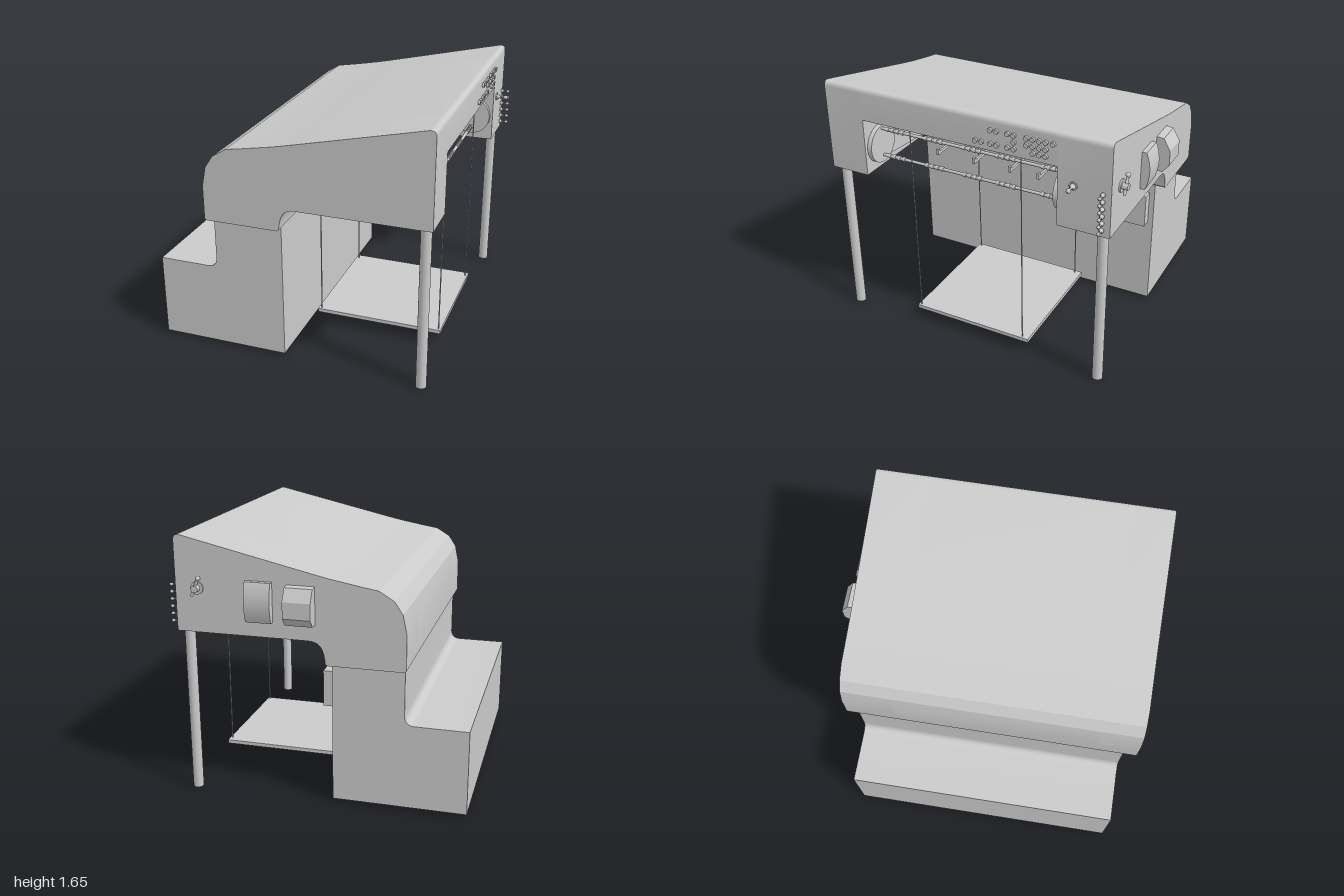
import * as THREE from 'three';
import { toCreasedNormals } from 'three/addons/utils/BufferGeometryUtils.js';

const grey = new THREE.MeshStandardMaterial({ color: 0xcccccc });

export function createModel() {
  const model = new THREE.Group();

  const add = (name, geometry, x = 0, y = 0, z = 0, parent = model) => {
    const mesh = new THREE.Mesh(geometry, grey);
    mesh.name = name;
    mesh.position.set(x, y, z);
    parent.add(mesh);
    return mesh;
  };
  // Box given by its limits
  const box = (name, x0, x1, y0, y1, z0, z1) =>
    add(name, new THREE.BoxGeometry(x1 - x0, y1 - y0, z1 - z0), (x0 + x1) / 2, (y0 + y1) / 2, (z0 + z1) / 2);
  // Cylinder between two points
  const rod = (name, a, b, r, sides = 12) => {
    const from = new THREE.Vector3(...a), to = new THREE.Vector3(...b);
    const dir = to.clone().sub(from);
    const mesh = add(name, new THREE.CylinderGeometry(r, r, dir.length(), sides));
    mesh.position.copy(from).add(to).multiplyScalar(0.5);
    mesh.quaternion.setFromUnitVectors(new THREE.Vector3(0, 1, 0), dir.normalize());
    return mesh;
  };
  // Side profile swept along z
  const sweep = (name, shape, z0, z1) => {
    const geo = new THREE.ExtrudeGeometry(shape, { depth: z1 - z0, bevelEnabled: false, curveSegments: 10 });
    return add(name, toCreasedNormals(geo, 0.3), 0, 0, z0);
  };

  // Stepped base with a coved corner
  const base = new THREE.Shape();
  base.moveTo(-0.935, 0.02);
  base.lineTo(-0.1, 0.02);
  base.lineTo(-0.1, 0.92);
  base.lineTo(-0.545, 0.92);
  base.lineTo(-0.545, 0.62);
  base.quadraticCurveTo(-0.545, 0.557, -0.61, 0.557);
  base.lineTo(-0.935, 0.557);
  base.closePath();
  sweep('base', base, -0.84, 0.92);
  box('switchBox', -0.1, -0.035, 0.62, 0.845, -0.805, -0.64);

  // Hood: two solid ends and a middle with the drum bay cut out
  const hoodShape = (bay) => {
    const s = new THREE.Shape();
    s.moveTo(-0.565, 0.925);
    s.lineTo(-0.553, 0.915);
    s.lineTo(-0.09, 0.915);
    s.lineTo(-0.08, 0.925);
    s.bezierCurveTo(-0.07, 1.02, -0.05, 1.06, 0.03, 1.06);
    if (bay) {
      s.lineTo(0.12, 1.06);
      s.lineTo(0.12, 1.44);
      s.lineTo(0.85, 1.44);
    } else s.lineTo(0.85, 1.06);
    s.lineTo(0.85, 1.62);
    s.quadraticCurveTo(0.848, 1.655, 0.81, 1.65);
    [[0, 1.465], [-0.1, 1.443], [-0.28, 1.41], [-0.4, 1.39], [-0.49, 1.335], [-0.54, 1.26], [-0.565, 1.14]]
      .forEach(([x, y]) => s.lineTo(x, y));
    s.closePath();
    return s;
  };
  sweep('hoodRearEnd', hoodShape(false), -0.91, -0.58);
  sweep('hoodMiddle', hoodShape(true), -0.58, 0.735);
  sweep('hoodFrontEnd', hoodShape(false), 0.735, 1.0);
  box('bayLedge', 0.12, 0.14, 1.065, 1.08, -0.58, 0.735);

  // Legs
  for (const z of [0.94, -0.85]) rod('leg', [0.797, 0, z], [0.797, 1.06, z], 0.033, 24);

  // Hanging platform
  box('platform', -0.05, 0.79, 0.08, 0.105, -0.36, 0.465);
  for (const z of [0.445, -0.315]) {
    rod('innerWire', [-0.03, 0.1, z], [-0.03, 1.06, z], 0.004, 6);
    rod('outerWire', [0.775, 0.1, z], [0.775, 1.44, z], 0.004, 6);
  }

  // Drum: end discs joined by collared bars
  const drumX = 0.71, drumY = 1.23;
  rod('drumEnd', [drumX, drumY, 0.7], [drumX, drumY, 0.73], 0.125, 32);
  rod('drumEnd', [drumX, drumY, -0.575], [drumX, drumY, -0.545], 0.125, 32);
  for (const y of [1.15, 1.335]) {
    rod('drumBar', [drumX, y, -0.56], [drumX, y, 0.71], 0.01);
    for (const c of [0.6, 0.32, 0.05, -0.18, -0.48])
      for (let i = 0; i < 4; i++) {
        const z = c + (i - 1.5) * 0.036;
        rod('collar', [drumX, y, z - 0.01], [drumX, y, z + 0.01], 0.015);
      }
  }

  // Belt guard tapering from the drum to a small pulley
  const belt = new THREE.Shape();
  belt.absarc(drumX, drumY, 0.11, -1.75, 1.2, false);
  belt.absarc(0.2, 1.1, 0.02, 1.9, 4.5, false);
  belt.closePath();
  sweep('belt', belt, 0.715, 0.733);
  rod('beltPulley', [0.2, 1.1, 0.69], [0.2, 1.1, 0.73], 0.022);

  // Arms reaching out of the bay wall
  for (const z of [0.47, 0.2, -0.06, -0.26, -0.44]) {
    box('arm', 0.12, 0.45, 1.08, 1.1, z - 0.008, z + 0.008);
    box('armTip', 0.43, 0.45, 1.08, 1.12, z - 0.01, z + 0.01);
  }

  // Button panel: rows of [height, z positions]
  const rows = [
    [1.573, [0.16, 0.2, 0.27, 0.31, 0.39, 0.43, 0.47, 0.51, 0.555]],
    [1.53, [0.31, 0.39, 0.43, 0.47, 0.51]],
    [1.487, [0.06, 0.1, 0.16, 0.2, 0.27, 0.31, 0.43, 0.47, 0.51]],
  ];
  for (const [y, zs] of rows)
    for (const z of zs) rod('button', [0.845, y, -z], [0.864, y, -z], 0.015, 16);

  // Column of lever knobs, each turned from one profile
  const knob = (name, y, z, s) => {
    const pts = [[0, 0], [0.014, 0], [0.014, 0.012], [0.005, 0.018], [0.004, 0.038],
      [0.009, 0.042], [0.011, 0.05], [0.009, 0.058], [0, 0.061]];
    const geo = new THREE.LatheGeometry(pts.map(([r, h]) => new THREE.Vector2(r * s, h * s)), 16);
    add(name, geo, 0.85, y, z).rotation.z = -Math.PI / 2;
  };
  for (let i = 0; i < 6; i++) knob('leverKnob', 1.105 + i * 0.0455, -0.86, 1);
  knob('mainKnob', 1.343, -0.68, 1.3);
  rod('mainKnobPlate', [0.848, 1.343, -0.68], [0.857, 1.343, -0.68], 0.026, 20);

  // Rear housings: profile in depth (d) and height, swept along x
  const housing = (name, x0, x1, shape) => {
    const mesh = sweep(name, shape, 0, x1 - x0);
    mesh.rotation.y = Math.PI / 2;
    mesh.position.set(x0, 0, -0.91);
  };
  const motor = new THREE.Shape([[0, 1.16], [0.05, 1.16], [0.09, 1.21], [0.09, 1.31], [0.045, 1.385], [0, 1.39]]
    .map(([d, y]) => new THREE.Vector2(d, y)));
  housing('motorHousing', -0.02, 0.15, motor);
  const cover = new THREE.Shape();
  cover.moveTo(0, 1.155);
  cover.lineTo(0.03, 1.155);
  cover.quadraticCurveTo(0.08, 1.28, 0.03, 1.4);
  cover.lineTo(0, 1.4);
  cover.closePath();
  housing('curvedCover', 0.24, 0.4, cover);

  // Rear crank
  rod('crankPlate', [0.71, 1.335, -0.905], [0.71, 1.335, -0.92], 0.04, 20);
  rod('crankHub', [0.71, 1.335, -0.91], [0.71, 1.335, -0.955], 0.022, 16);
  rod('crankArm', [0.735, 1.29, -0.94], [0.69, 1.4, -0.94], 0.009);
  add('crankGrip', new THREE.SphereGeometry(0.016, 16, 12), 0.69, 1.4, -0.94);

  return model;
}
